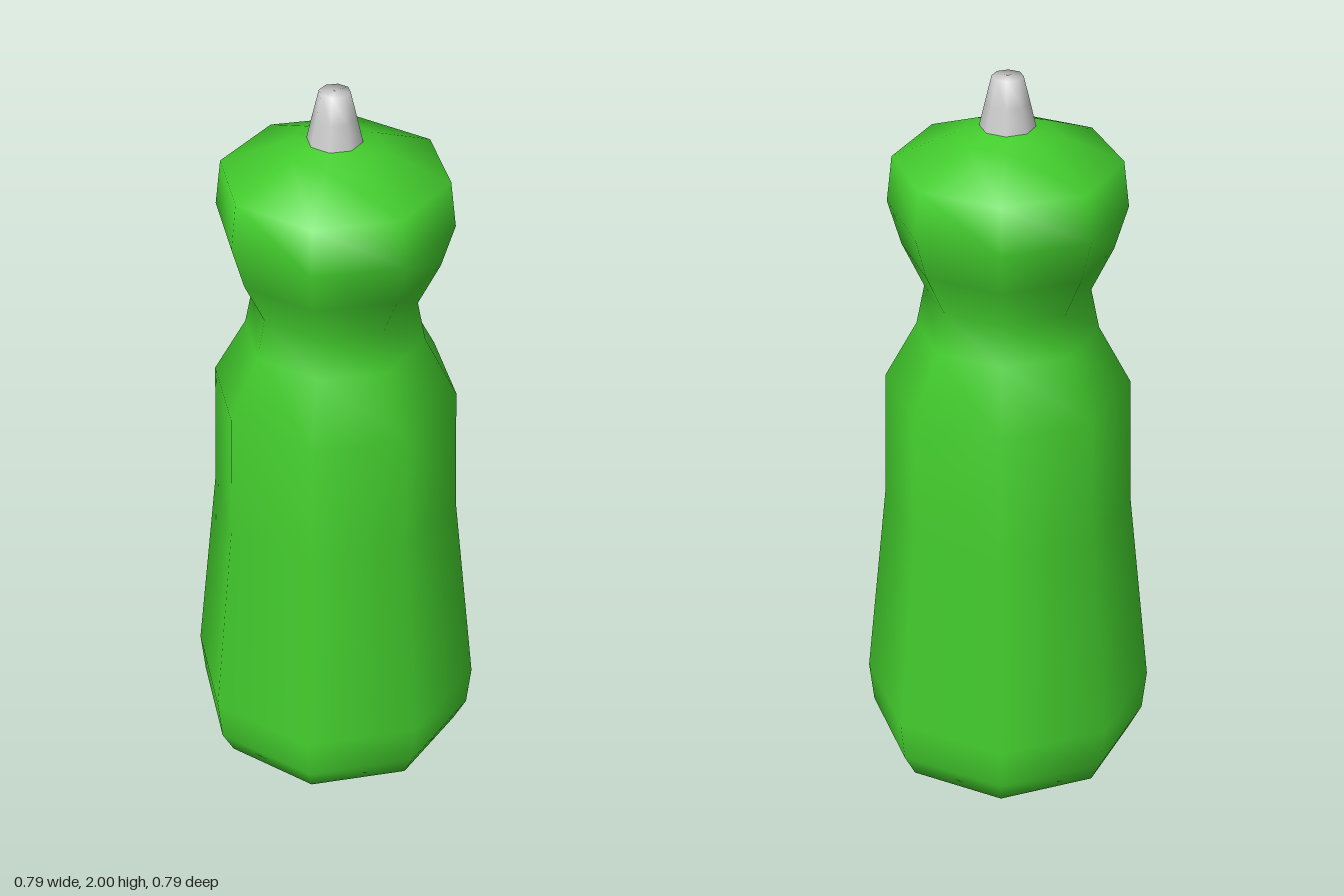
import * as THREE from 'three';

const SIDES = 8;

// Smooth-shaded octagonal solid of revolution from [radius, height] pairs
function turned(name, profile, color) {
  const points = profile.map(([r, y]) => new THREE.Vector2(r, y));
  const material = new THREE.MeshStandardMaterial({ color, side: THREE.DoubleSide });
  const mesh = new THREE.Mesh(new THREE.LatheGeometry(points, SIDES), material);
  mesh.name = name;
  return mesh;
}

export function createModel() {
  const group = new THREE.Group();
  group.name = 'squeezeBottle';

  // Base, tapering body, pinched neck, bulging head and sloping top
  group.add(turned('bottleBody', [
    [0, 0], [0.35, 0], [0.385, 0.07], [0.397, 0.19], [0.335, 0.78], [0.326, 1.14],
    [0.24, 1.3], [0.218, 1.41], [0.275, 1.53], [0.31, 1.65], [0.295, 1.775],
    [0.13, 1.845], [0.06, 1.87],
  ], 0x43cc2d));

  // Tapered spout with a flat tip
  group.add(turned('nozzle', [
    [0.072, 1.865], [0.057, 1.93], [0.04, 2], [0, 2],
  ], 0xcccccc));

  return group;
}
